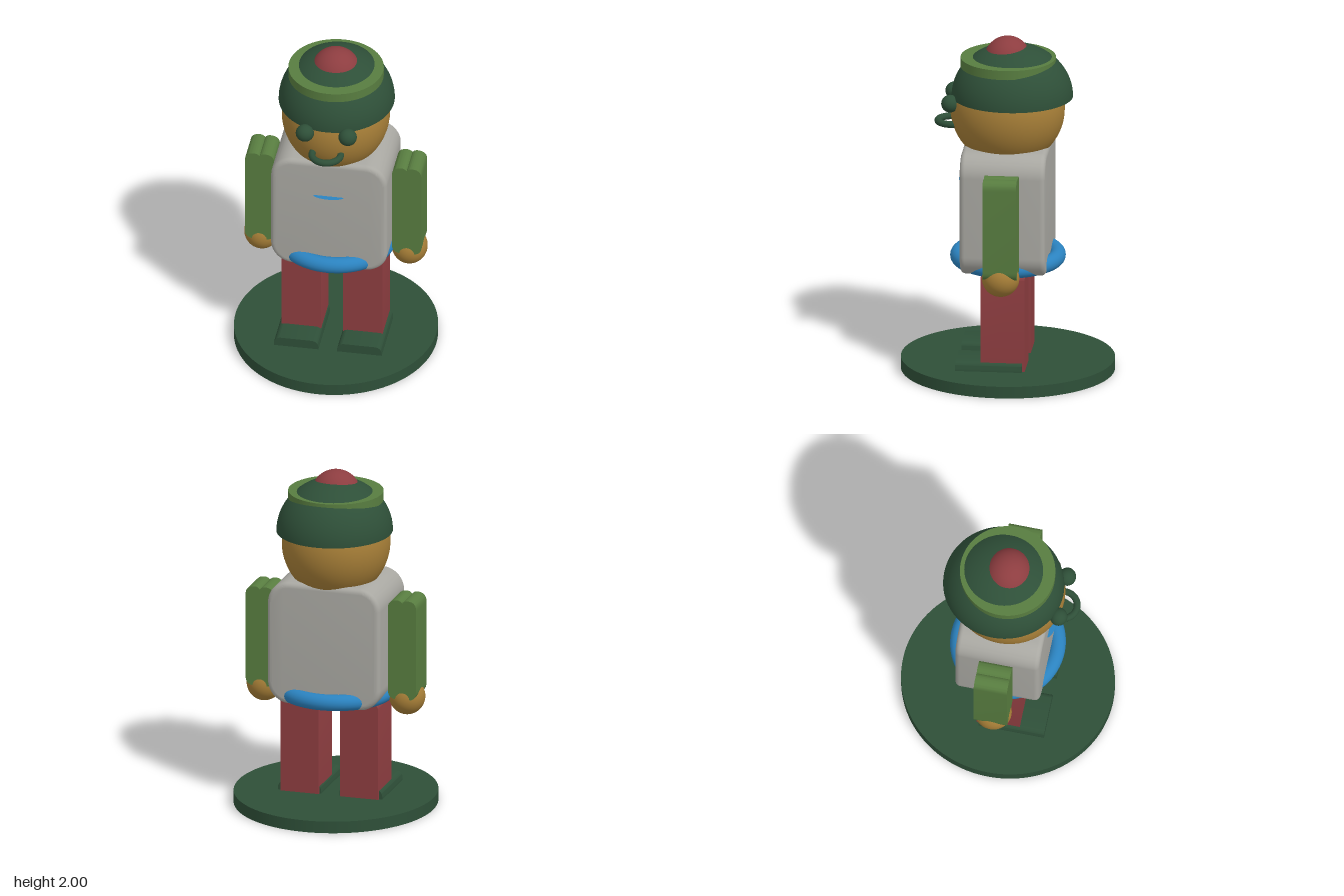
import * as THREE from 'three';
import { toCreasedNormals } from 'three/addons/utils/BufferGeometryUtils.js';

const mat = (name, color, side = THREE.FrontSide) => {
  const m = new THREE.MeshStandardMaterial({ color, side });
  m.name = name;
  return m;
};

// Rounded rectangle with a separate radius for the top and bottom corners
function roundedRect(w, h, rTop, rBottom) {
  const x = w / 2, y = h / 2, s = new THREE.Shape();
  s.moveTo(-x + rBottom, -y);
  s.lineTo(x - rBottom, -y);
  if (rBottom) s.absarc(x - rBottom, -y + rBottom, rBottom, -Math.PI / 2, 0);
  s.lineTo(x, y - rTop);
  if (rTop) s.absarc(x - rTop, y - rTop, rTop, 0, Math.PI / 2);
  s.lineTo(-x + rTop, y);
  if (rTop) s.absarc(-x + rTop, y - rTop, rTop, Math.PI / 2, Math.PI);
  s.lineTo(-x, -y + rBottom);
  if (rBottom) s.absarc(-x + rBottom, -y + rBottom, rBottom, Math.PI, Math.PI * 1.5);
  return s;
}

// Outline extruded along z, centred, with optional soft edges
function slab(shape, depth, bevel = 0) {
  const g = new THREE.ExtrudeGeometry(shape, {
    depth: depth - 2 * bevel, curveSegments: 10,
    bevelEnabled: bevel > 0, bevelSize: bevel, bevelThickness: bevel, bevelSegments: 5,
  });
  g.translate(0, 0, -depth / 2 + bevel);
  return toCreasedNormals(g, 0.6);
}

// Arm outline: rounded corners with a shallow notch at top and bottom
function armShape(w, h) {
  const x = w / 2, y = h / 2, r = 0.055, n = 0.016, s = new THREE.Shape();
  s.moveTo(x, -y + r);
  s.lineTo(x, y - r);
  s.quadraticCurveTo(x, y, x - r, y);
  s.quadraticCurveTo(0.012, y, 0, y - n);
  s.quadraticCurveTo(-0.012, y, -x + r, y);
  s.quadraticCurveTo(-x, y, -x, y - r);
  s.lineTo(-x, -y + r);
  s.quadraticCurveTo(-x, -y, -x + r, -y);
  s.quadraticCurveTo(-0.012, -y, 0, -y + n);
  s.quadraticCurveTo(0.012, -y, x - r, -y);
  s.quadraticCurveTo(x, -y, x, -y + r);
  return s;
}

export function createModel() {
  const group = new THREE.Group();
  const darkGreen = mat('dark green', 0x2e4f38);
  const leafGreen = mat('leaf green', 0x587d40);
  const red = mat('brick red', 0x8d3d40);
  const tan = mat('ochre skin', 0xa67e37);
  const grey = mat('warm grey', 0xa9a8a2);
  const blue = mat('belt blue', 0x2b83c0);
  const badgeBlue = mat('badge blue', 0x2b83c0, THREE.DoubleSide);

  const add = (name, geo, material, x, y, z, scale = [1, 1, 1]) => {
    const m = new THREE.Mesh(geo, material);
    m.name = name;
    m.position.set(x, y, z);
    m.scale.set(...scale);
    group.add(m);
    return m;
  };
  const ball = (r) => new THREE.SphereGeometry(r, 48, 32);

  // Oval stand
  add('stand', new THREE.CylinderGeometry(0.617, 0.617, 0.07, 96), darkGreen, 0, 0.035, 0, [0.951, 1, 1]);

  // Torso, belt ring and thin chest badge
  const b = 0.03;
  add('torso', slab(roundedRect(0.68 - 2 * b, 0.735 - 2 * b, 0.1, 0.1), 0.495, b), grey, 0, 1.0025, 0.002);
  const belt = new THREE.TorusGeometry(0.286, 0.047, 20, 72).rotateX(Math.PI / 2);
  add('belt', belt, blue, 0, 0.683, 0, [1.05, 1, 1]);
  const badge = new THREE.CircleGeometry(0.09, 24, Math.PI, Math.PI).rotateX(-Math.PI / 2);
  add('chestBadge', badge, badgeBlue, 0, 1.14, 0.247, [1, 1, 0.4]);

  // Limbs, mirrored left and right
  for (const [side, s] of [['left', 1], ['right', -1]]) {
    add(side + 'Leg', slab(roundedRect(0.23, 0.58, 0.04, 0), 0.255), red, s * 0.18, 0.36, 0.002);
    add(side + 'Shoe', slab(roundedRect(0.26, 0.06, 0.04, 0), 0.385), darkGreen, s * 0.185, 0.095, 0.0825);
    add(side + 'Arm', slab(armShape(0.172, 0.6), 0.195), leafGreen, s * 0.43, 0.98, 0);
    add(side + 'Hand', ball(0.108), tan, s * 0.431, 0.675, 0, [0.96, 0.98, 1]);
    add(side + 'Eye', ball(0.053), darkGreen, s * 0.125, 1.625, 0.323, [1, 0.96, 0.96]);
  }

  // Head and mouth
  add('head', ball(0.33), tan, 0, 1.57, 0.002, [0.945, 1, 1]);
  add('mouth', new THREE.TorusGeometry(0.083, 0.02, 14, 40).rotateX(Math.PI / 2), darkGreen, 0, 1.485, 0.322);

  // Hat: closed dome set slightly back, flat band and bobble
  const dome = new THREE.SphereGeometry(0.35, 64, 24, 0, Math.PI * 2, 0, Math.PI / 2);
  add('hatDome', dome, darkGreen, 0, 1.645, -0.025, [0.955, 0.885, 1]);
  add('hatUnderside', new THREE.CircleGeometry(0.35, 64).rotateX(Math.PI / 2), darkGreen, 0, 1.645, -0.025, [0.955, 1, 1]);
  add('hatBand', new THREE.CylinderGeometry(0.275, 0.275, 0.055, 72), leafGreen, 0, 1.8525, -0.002);
  add('hatBobble', ball(0.145), red, 0, 1.855, 0.002, [1, 1, 0.96]);

  return group;
}
